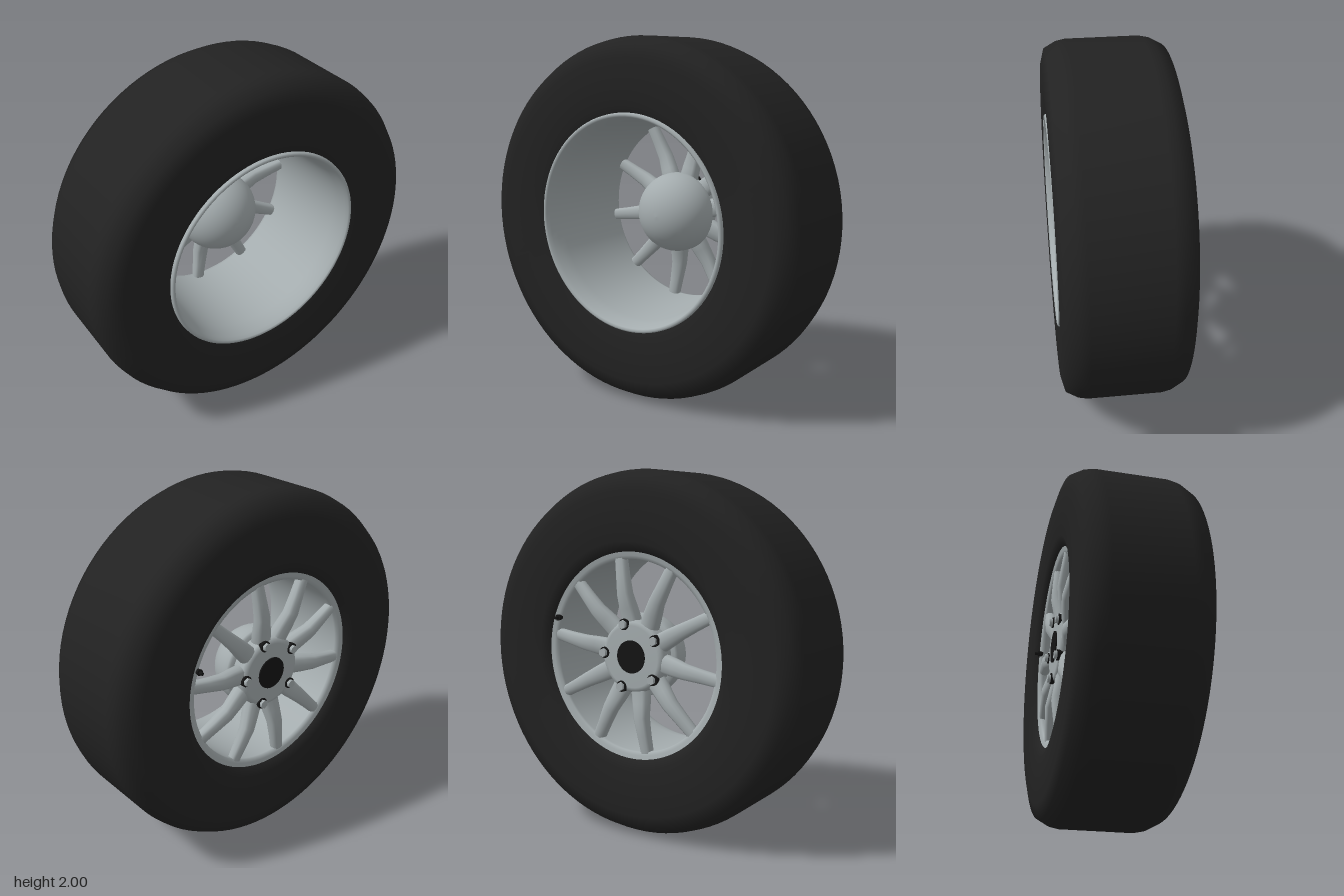
import * as THREE from 'three';

const rubber = new THREE.MeshStandardMaterial({ name: 'black rubber', color: 0x222222 });
const alloy = new THREE.MeshStandardMaterial({ name: 'grey alloy', color: 0xa4acae });
const black = new THREE.MeshStandardMaterial({ name: 'black plastic', color: 0x141414 });

// Turned part around the wheel axle (z); points are [radius, z]
function turned(name, points, material, segments = 96) {
  const geo = new THREE.LatheGeometry(points.map(p => new THREE.Vector2(p[0], p[1])), segments);
  geo.rotateX(Math.PI / 2);
  const mesh = new THREE.Mesh(geo, material);
  mesh.name = name;
  return mesh;
}

// Short cylinder along z
function disc(name, rTop, rBottom, depth, z, material, sides) {
  const geo = new THREE.CylinderGeometry(rTop, rBottom, depth, sides);
  geo.rotateX(Math.PI / 2);
  const mesh = new THREE.Mesh(geo, material);
  mesh.position.z = z;
  mesh.name = name;
  return mesh;
}

// Rounded bar lofted outward along +y; sections are [radius, z, half width, half depth]
function spokeGeometry() {
  const sections = [
    [0.10, -0.235, 0.052, 0.045], [0.19, -0.240, 0.054, 0.045],
    [0.26, -0.255, 0.050, 0.042], [0.34, -0.272, 0.043, 0.038],
    [0.44, -0.268, 0.037, 0.034], [0.535, -0.262, 0.034, 0.030],
  ];
  const n = 12, pos = [], index = [];
  const soft = v => Math.sign(v) * Math.abs(v) ** 0.75;
  for (const [r, z, w, d] of sections) {
    for (let i = 0; i < n; i++) {
      const a = (i / n) * Math.PI * 2;
      pos.push(w * soft(Math.cos(a)), r, z + d * soft(Math.sin(a)));
    }
  }
  for (let s = 0; s < sections.length - 1; s++) {
    for (let i = 0; i < n; i++) {
      const a = s * n + i, b = s * n + (i + 1) % n;
      index.push(a, a + n, b, b, a + n, b + n);
    }
  }
  const geo = new THREE.BufferGeometry();
  geo.setAttribute('position', new THREE.Float32BufferAttribute(pos, 3));
  geo.setIndex(index);
  geo.computeVertexNormals();
  return geo;
}

export function createModel() {
  const model = new THREE.Group();
  model.name = 'wheel';
  const wheel = new THREE.Group();
  wheel.name = 'wheelAssembly';
  wheel.position.y = 1;
  model.add(wheel);

  // Tyre, from the back bead over the tread to the front bead
  wheel.add(turned('tyre', [
    [0.555, -0.27], [0.57, -0.305], [0.62, -0.328], [0.75, -0.335], [0.88, -0.335],
    [0.955, -0.315], [0.99, -0.25], [1, -0.2], [1, 0.2], [0.99, 0.25],
    [0.955, 0.315], [0.88, 0.335], [0.75, 0.335], [0.64, 0.328], [0.59, 0.31],
  ], rubber));

  // Rim barrel with a rolled front lip and a narrow back flange
  wheel.add(turned('rimBarrel', [
    [0.60, 0.31], [0.598, 0.328], [0.588, 0.335], [0.577, 0.328], [0.570, 0.305],
    [0.558, 0.27], [0.552, 0.22], [0.545, 0.1], [0.535, -0.1], [0.525, -0.27],
    [0.527, -0.285], [0.545, -0.292], [0.572, -0.298],
  ], alloy));

  // Ten spokes
  const spokeGeo = spokeGeometry();
  for (let i = 0; i < 10; i++) {
    const spoke = new THREE.Mesh(spokeGeo, alloy);
    spoke.name = 'spoke';
    spoke.rotation.z = THREE.MathUtils.degToRad(9 + 36 * i - 90);
    wheel.add(spoke);
  }

  // Hub plate, and the bearing dome on the inner side
  wheel.add(turned('hubPlate', [
    [0, -0.293], [0.17, -0.293], [0.19, -0.286], [0.2, -0.27], [0.2, -0.17],
  ], alloy, 48));
  const dome = [[0.19, -0.205], [0.222, -0.2], [0.23, -0.185]];
  for (let i = 0; i <= 12; i++) {
    const a = (i / 12) * Math.PI / 2;
    dome.push([0.23 * Math.cos(a), -0.16 + 0.21 * Math.sin(a)]);
  }
  wheel.add(turned('bearingDome', dome, alloy, 48));

  // Centre cap
  wheel.add(disc('centreCap', 0.09, 0.09, 0.02, -0.29, black, 40));

  // Five wheel bolts in dark seats
  for (let i = 0; i < 5; i++) {
    const bolt = new THREE.Group();
    bolt.name = 'wheelBolt';
    const a = THREE.MathUtils.degToRad(3 + 72 * i);
    bolt.position.set(0.18 * Math.cos(a), 0.18 * Math.sin(a), 0);
    bolt.add(disc('boltSeat', 0.031, 0.031, 0.03, -0.285, black, 20));
    bolt.add(disc('boltHead', 0.024, 0.024, 0.03, -0.302, alloy, 6));
    wheel.add(bolt);
  }

  // Tyre valve near the rim edge
  const valve = new THREE.Group();
  valve.name = 'valve';
  const va = THREE.MathUtils.degToRad(20);
  valve.position.set(0.535 * Math.cos(va), 0.535 * Math.sin(va), 0);
  valve.add(disc('valveBase', 0.014, 0.018, 0.03, -0.295, black, 12));
  valve.add(disc('valveStem', 0.009, 0.009, 0.04, -0.31, black, 12));
  wheel.add(valve);

  return model;
}
